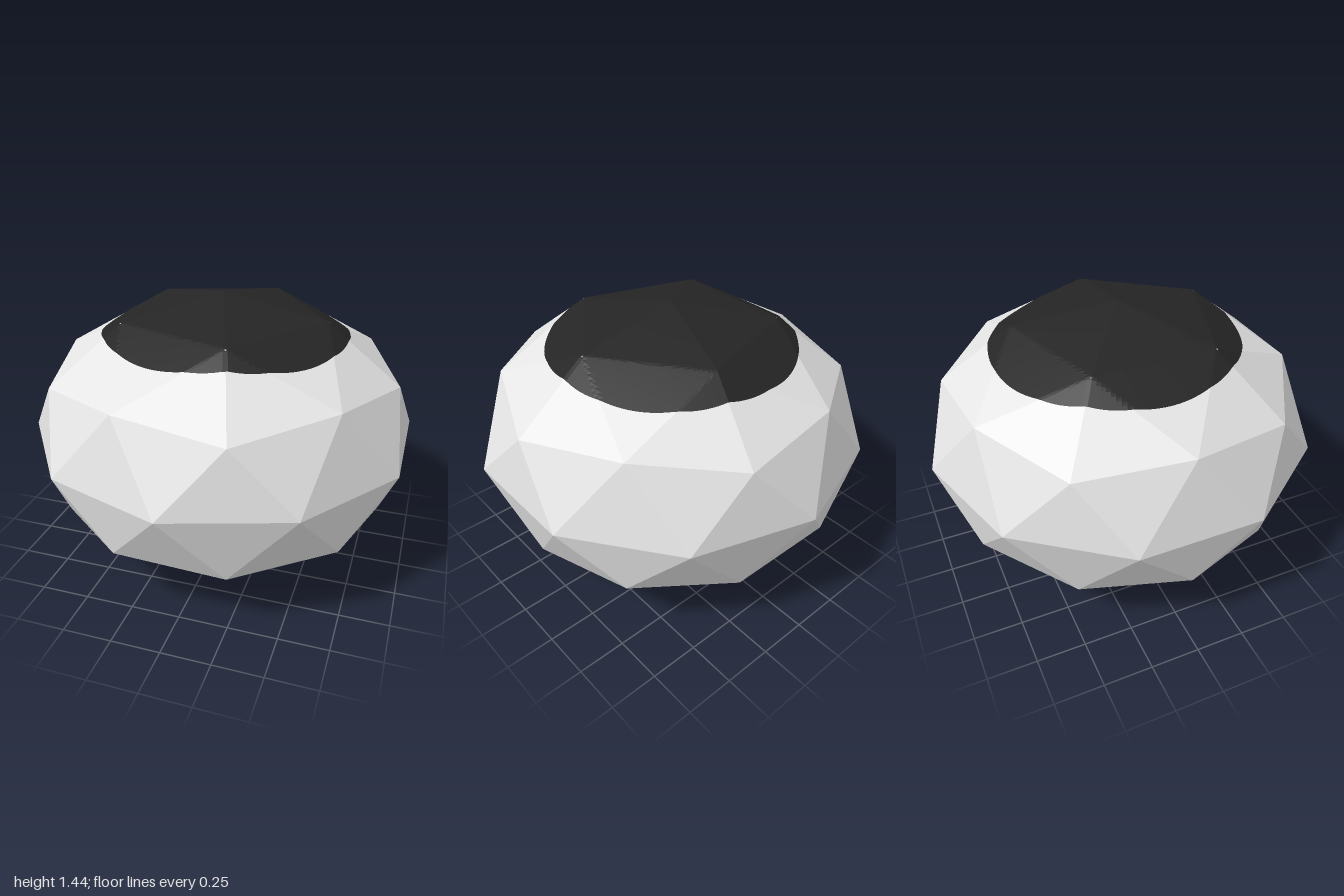
import * as THREE from 'three';

const HEIGHT = 0.72; // half height of the squashed ball

// Once-subdivided icosahedron with a corner at each pole, flattened in y
function buildBody() {
  const verts = [0, 1, 0];
  const up = 1 / Math.sqrt(5), r = 2 / Math.sqrt(5);
  for (const [y, start] of [[up, 0], [-up, Math.PI / 5]]) {
    for (let k = 0; k < 5; k++) {
      const a = start + k * Math.PI * 0.4;
      verts.push(r * Math.cos(a), y, r * Math.sin(a));
    }
  }
  verts.push(0, -1, 0);
  const faces = [];
  for (let k = 0; k < 5; k++) {
    const n = (k + 1) % 5;
    const u0 = 1 + k, u1 = 1 + n, l0 = 6 + k, l1 = 6 + n;
    faces.push(0, u1, u0, u1, l0, u0, l0, u1, l1, l1, 11, l0);
  }
  const geo = new THREE.PolyhedronGeometry(verts, faces, 1, 1);
  geo.scale(1, HEIGHT, 1);
  geo.translate(0, HEIGHT, 0);
  geo.computeVertexNormals();
  return geo;
}

// Height of the convex body's upper surface: lowest of its upward planes
function surfaceHeight(geo) {
  const p = geo.attributes.position;
  const planes = [];
  for (let i = 0; i < p.count; i += 3) {
    const [a, b, c] = [0, 1, 2].map(j => new THREE.Vector3().fromBufferAttribute(p, i + j));
    const plane = new THREE.Plane().setFromCoplanarPoints(a, b, c);
    if (plane.normal.y > 0.05) planes.push(plane);
  }
  return (x, z) => Math.min(...planes.map(({ normal: n, constant: d }) => -(d + n.x * x + n.z * z) / n.y));
}

// Thin round patch draped over the top facets
function buildPatch(heightAt) {
  const geo = new THREE.RingGeometry(0.0005, 0.625, 160, 40);
  geo.rotateX(-Math.PI / 2);
  geo.translate(0.005, 0, -0.015);
  const p = geo.attributes.position;
  for (let i = 0; i < p.count; i++) p.setY(i, heightAt(p.getX(i), p.getZ(i)) + 0.003);
  geo.computeVertexNormals();
  return geo;
}

export function createModel() {
  const bodyPaint = new THREE.MeshStandardMaterial({ color: 0xe5e5e5, flatShading: true });
  bodyPaint.name = 'lightGrey';
  const patchPaint = new THREE.MeshStandardMaterial({ color: 0x252525, flatShading: true, side: THREE.DoubleSide });
  patchPaint.name = 'nearBlack';

  const group = new THREE.Group();
  group.name = 'facetedBall';

  const bodyGeo = buildBody();
  const body = new THREE.Mesh(bodyGeo, bodyPaint);
  body.name = 'body';

  const patch = new THREE.Mesh(buildPatch(surfaceHeight(bodyGeo)), patchPaint);
  patch.name = 'topPatch';

  group.add(body, patch);
  return group;
}
